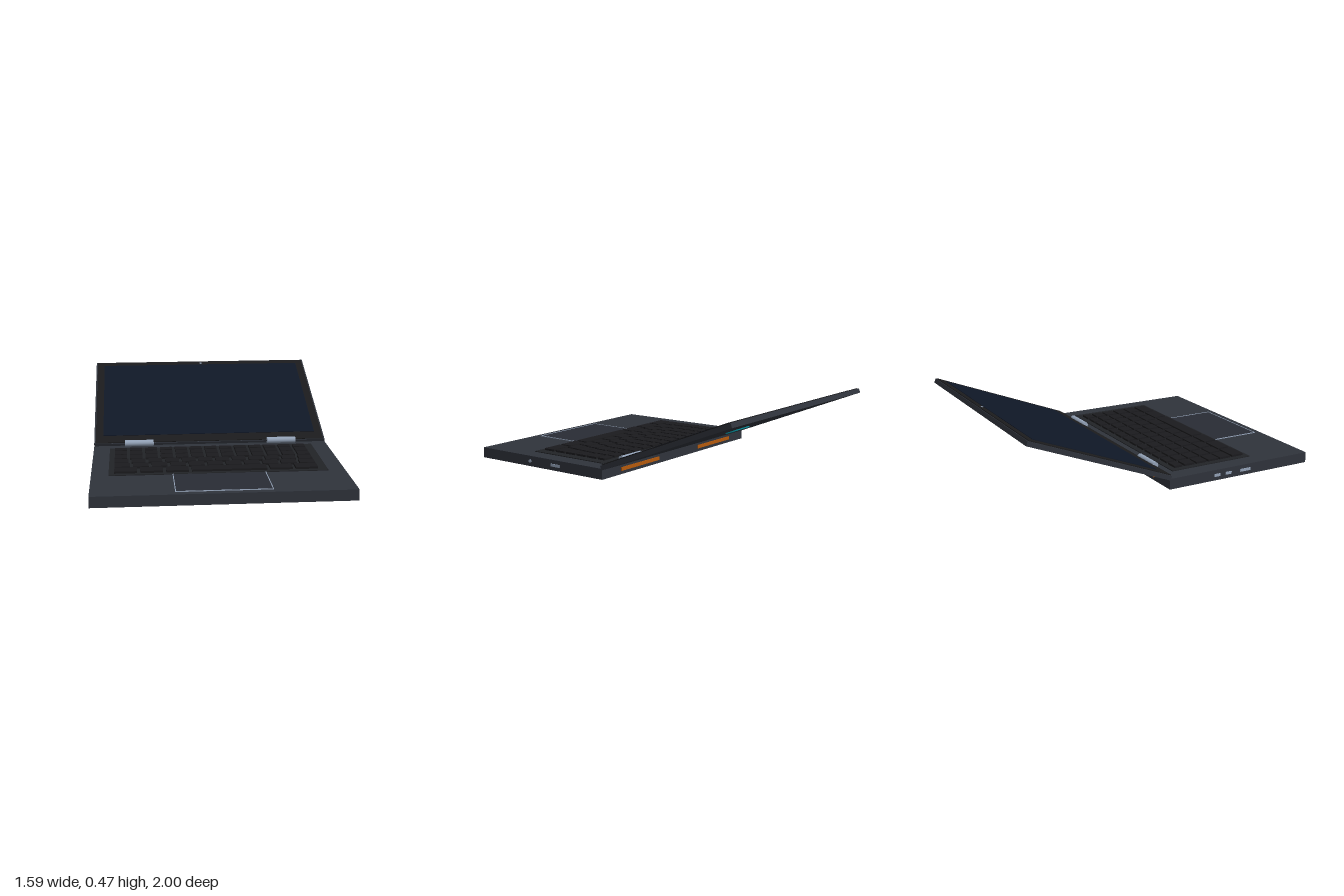
import * as THREE from 'three';

const mat = (color) => new THREE.MeshStandardMaterial({ color });
const M = {
  body: mat(0x2f333b), bezel: mat(0x1b1b1d), screen: mat(0x0f1726), deck: mat(0x212327),
  key: mat(0x1b1b1e), pad: mat(0x292c34), metal: mat(0x94a3b8), foot: mat(0x111113),
  vent: mat(0xb45a0c), emblem: mat(0x0a8f9c),
};

export function createModel() {
  const model = new THREE.Group();
  model.name = 'laptop';

  const add = (parent, name, geometry, material, x, y, z) => {
    const mesh = new THREE.Mesh(geometry, material);
    mesh.name = name;
    mesh.position.set(x, y, z);
    parent.add(mesh);
    return mesh;
  };
  // Box given by its extents on each axis
  const box = (parent, name, material, [x0, x1], [y0, y1], [z0, z1]) =>
    add(parent, name, new THREE.BoxGeometry(x1 - x0, y1 - y0, z1 - z0), material,
      (x0 + x1) / 2, (y0 + y1) / 2, (z0 + z1) / 2);

  // Base with keyboard tray
  const base = new THREE.Group();
  base.name = 'base';
  model.add(base);
  box(base, 'baseBody', M.body, [-0.793, 0.793], [0.013, 0.082], [-0.055, 1]);
  box(base, 'keyboardTray', M.deck, [-0.685, 0.685], [0.08, 0.087], [0.03, 0.622]);

  // Keys: each row is [zBack, zFront, relative key widths]
  const keyboard = new THREE.Group();
  keyboard.name = 'keyboard';
  base.add(keyboard);
  const even = (n) => Array(n).fill(1);
  const rows = [
    [0.068, 0.125, even(13)], [0.142, 0.217, even(13)], [0.23, 0.308, even(13)],
    [0.322, 0.4, even(12)], [0.412, 0.492, even(11)],
    [0.507, 0.592, [1, 1, 1, 3.05, 1, 1]],
  ];
  const keyLeft = -0.65, keyRight = 0.625, gap = 0.02;
  for (const [z0, z1, widths] of rows) {
    const total = widths.reduce((a, b) => a + b, 0);
    const unit = (keyRight - keyLeft + gap) / total;
    let x = keyLeft;
    for (const w of widths) {
      box(keyboard, 'key', M.key, [x, x + w * unit - gap], [0.086, 0.1], [z0, z1]);
      x += w * unit;
    }
  }

  // Trackpad with a thin metal outline
  box(base, 'trackpad', M.pad, [-0.286, 0.286], [0.08, 0.0845], [0.622, 0.953]);
  box(base, 'trackpadFrontTrim', M.metal, [-0.291, 0.291], [0.08, 0.087], [0.952, 0.957]);
  for (const s of [-1, 1]) {
    const x = s * 0.2885;
    box(base, 'trackpadSideTrim', M.metal, [x - 0.0025, x + 0.0025], [0.08, 0.087], [0.622, 0.957]);
  }

  // Feet, rear vents and hinges, mirrored
  for (const s of [-1, 1]) {
    for (const z of [0.075, 0.87]) {
      add(base, 'foot', new THREE.CylinderGeometry(0.036, 0.036, 0.016, 24), M.foot, s * 0.66, 0.008, z);
    }
    const vent = s * 0.415;
    box(base, 'rearVent', M.vent, [vent - 0.195, vent + 0.195], [0.035, 0.058], [-0.061, -0.05]);
    add(model, 'hinge', new THREE.CylinderGeometry(0.021, 0.021, 0.195, 24), M.metal,
      s * 0.487, 0.102, -0.034).rotation.z = Math.PI / 2;
  }

  // Side ports
  add(base, 'audioJack', new THREE.CylinderGeometry(0.011, 0.011, 0.012, 16), M.metal,
    0.791, 0.047, 0.562).rotation.z = Math.PI / 2;
  box(base, 'rightPort', M.metal, [0.785, 0.797], [0.038, 0.056], [0.302, 0.376]);
  for (const [z, w] of [[0.295, 0.045], [0.38, 0.045], [0.51, 0.08]]) {
    box(base, 'leftPort', M.metal, [-0.797, -0.785], [0.038, 0.056], [z - w / 2, z + w / 2]);
  }

  // Lid: local y runs up the panel, local z faces the user
  const lid = new THREE.Group();
  lid.name = 'lid';
  lid.position.set(0, 0.104, -0.038);
  lid.rotation.x = THREE.MathUtils.degToRad(-68.5);
  model.add(lid);
  box(lid, 'lidShell', M.body, [-0.793, 0.793], [0, 1.02], [-0.035, -0.005]);
  box(lid, 'screenBezel', M.bezel, [-0.783, 0.783], [0.006, 1.012], [-0.008, 0]);
  box(lid, 'screen', M.screen, [-0.732, 0.732], [0.083, 0.965], [-0.004, 0.003]);
  add(lid, 'camera', new THREE.CylinderGeometry(0.008, 0.008, 0.006, 16), M.metal,
    0, 0.984, 0.001).rotation.x = Math.PI / 2;

  // Plain six-sided badge on the back of the lid
  add(lid, 'hexagonBadge', new THREE.CylinderGeometry(0.09, 0.09, 0.01, 6), M.emblem,
    0, 0.51, -0.037).rotation.x = Math.PI / 2;

  return model;
}
